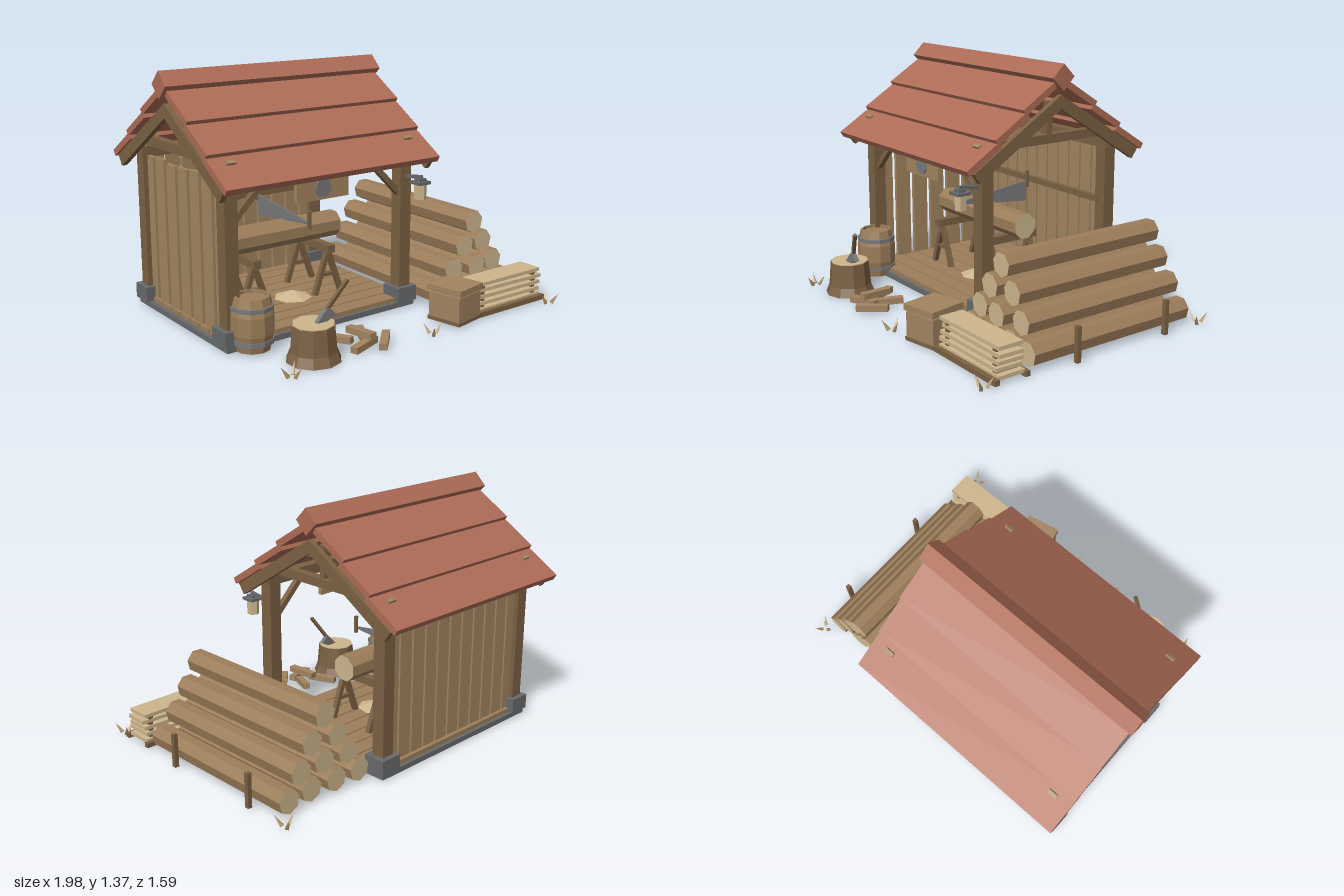
import * as THREE from 'three';

const mat = (name, color) => {
  const m = new THREE.MeshStandardMaterial({ color, flatShading: true });
  m.name = name;
  return m;
};

export function createModel() {
  const root = new THREE.Group();
  root.name = 'woodcutterShed';
  const roofRed = mat('roofRed', 0xad6c56);
  const plank = mat('plankWood', 0xa28460);
  const beam = mat('beamWood', 0x7b6144);
  const bark = mat('logBark', 0x9d7e5a);
  const cut = mat('cutWood', 0xcdb68d);
  const metal = mat('metal', 0x78797b);
  const stone = mat('stone', 0x67696b);
  const grass = mat('dryGrass', 0xb6996c);

  let seed = 7;
  const rnd = () => (seed = (seed * 16807) % 2147483647) / 2147483647;

  const group = (name, x = 0, y = 0, z = 0) => {
    const g = new THREE.Group();
    g.name = name;
    g.position.set(x, y, z);
    root.add(g);
    return g;
  };
  const add = (p, name, geo, m, x = 0, y = 0, z = 0, rx = 0, ry = 0, rz = 0) => {
    const mesh = new THREE.Mesh(geo, m);
    mesh.name = name;
    mesh.position.set(x, y, z);
    mesh.rotation.set(rx, ry, rz);
    p.add(mesh);
    return mesh;
  };
  const box = (p, name, m, w, h, d, x, y, z, rx, ry, rz) =>
    add(p, name, new THREE.BoxGeometry(w, h, d), m, x, y, z, rx, ry, rz);
  // Square bar between two points
  const bar = (p, name, m, a, b, w, d = w) => {
    const A = new THREE.Vector3(...a), B = new THREE.Vector3(...b);
    const dir = B.clone().sub(A);
    const mesh = box(p, name, m, w, dir.length(), d, 0, 0, 0);
    mesh.position.copy(A).add(B).multiplyScalar(0.5);
    mesh.quaternion.setFromUnitVectors(new THREE.Vector3(0, 1, 0), dir.normalize());
    return mesh;
  };

  const XL = -0.875, XR = 0.24, ZF = 0.24, ZB = -0.62, XC = -0.315, ZC = -0.19;

  // Base slab, floor boards, corner stones and posts
  const base = group('base');
  box(base, 'slab', stone, 1.22, 0.03, 0.97, XC, 0.02, ZC);
  for (let i = 0; i < 9; i++)
    box(base, 'floorBoard', bark, 1.17, 0.025, 0.096, XC, 0.046, -0.606 + i * 0.104);
  const frame = group('frame');
  for (const x of [XL, XR]) for (const z of [ZF, ZB]) {
    box(base, 'cornerStone', stone, 0.13, 0.085, 0.13, x, 0.076, z);
    box(frame, 'post', beam, 0.075, 0.82, 0.075, x, 0.5, z);
  }

  // Plates, ties, king posts, front braces and back rail
  for (const z of [ZF, ZB]) box(frame, 'plate', beam, 1.2, 0.06, 0.065, XC, 0.885, z);
  for (const [x, s] of [[XL, 1], [XR, -1]])
    bar(frame, 'brace', beam, [x + s * 0.02, 0.65, ZF], [x + s * 0.23, 0.86, ZF], 0.032);
  for (const x of [XL, XR]) {
    box(frame, 'tieBeam', beam, 0.05, 0.05, 0.78, x, 0.955, ZC);
    box(frame, 'kingPost', beam, 0.035, 0.2, 0.035, x, 1.06, ZC);
  }
  box(frame, 'backRail', beam, 1.08, 0.035, 0.03, XC, 0.55, ZB + 0.03);

  // Board walls: back and left-hand end
  const walls = group('walls');
  for (let i = 0; i < 11; i++) {
    const h = 0.81 + rnd() * 0.02;
    box(walls, 'backBoard', plank, 0.087, h, 0.022, XC - 0.5 + i * 0.1, 0.055 + h / 2, ZB);
  }
  for (let i = 0; i < 7; i++) {
    const h = 0.795 + rnd() * 0.025;
    box(walls, 'sideBoard', plank, 0.022, h, 0.098, XL, 0.055 + h / 2, ZC + (i - 3) * 0.125);
  }

  // Gable rafters
  const chevron = new THREE.Shape([[0.57, 0.85], [0, 1.205], [-0.57, 0.85], [-0.53, 0.795],
    [0, 1.13], [0.53, 0.795]].map(p => new THREE.Vector2(...p)));
  const gable = new THREE.ExtrudeGeometry(chevron, { depth: 0.03, bevelEnabled: false }).rotateY(Math.PI / 2);
  for (const x of [-0.975, 0.322]) add(frame, 'gableRafter', gable, beam, x, 0, ZC);

  // Roof: overlapping courses on both slopes, pegs and a turned ridge beam
  const tilt = 0.555, c = Math.cos(tilt), s = Math.sin(tilt), L = 0.24, T = 0.036;
  for (const side of [0, 1]) {
    const slope = group(side ? 'backRoof' : 'frontRoof', XC, 0, ZC);
    slope.rotation.y = side * Math.PI;
    for (let i = 0; i < 3; i++) {
      const y = 0.872 + i * 0.138 + s * L / 2 - c * T / 2;
      const z = 0.615 - i * 0.18 - c * L / 2 - s * T / 2;
      box(slope, 'roofCourse', roofRed, 1.335, T, L, 0, y, z, tilt);
    }
    for (const x of [-0.557, 0.557]) box(slope, 'roofPeg', plank, 0.052, 0.022, 0.022, x, 0.964, 0.47, tilt);
  }
  const ridge = group('ridge');
  box(ridge, 'ridgeBeam', roofRed, 1.37, 0.103, 0.103, XC, 1.3, ZC, Math.PI / 4);

  // Hanging sign with a round plate
  const sign = group('sign', XC, 0.763, 0.255);
  box(sign, 'signBoard', plank, 0.33, 0.125, 0.025, 0, 0, 0);
  add(sign, 'signDisc', new THREE.CylinderGeometry(0.05, 0.05, 0.009, 10), metal, 0, 0, 0.016, Math.PI / 2);
  for (const x of [-0.12, 0.12]) box(sign, 'signHanger', metal, 0.01, 0.06, 0.01, x, 0.085, 0);

  // Lantern on a bracket
  const lantern = group('lantern', 0.245, 0, 0.392);
  bar(lantern, 'bracket', stone, [0, 0.75, -0.12], [0, 0.768, 0.01], 0.018);
  box(lantern, 'cap', stone, 0.082, 0.016, 0.082, 0, 0.736, 0);
  box(lantern, 'hook', stone, 0.045, 0.016, 0.045, 0, 0.751, 0);
  add(lantern, 'glass', new THREE.CylinderGeometry(0.036, 0.033, 0.085, 6), cut, 0, 0.688, 0);

  // Logs with pale cut ends
  const log = (p, name, r, len, x, y, z, sides, alongX) => {
    const g = new THREE.CylinderGeometry(r, r, len, sides);
    if (alongX) g.rotateY(Math.PI / 8).rotateZ(Math.PI / 2);
    else g.rotateX(Math.PI / 2);
    return add(p, name, g, [bark, cut, cut], x, y, z);
  };
  const pile = group('logPile');
  for (let row = 0; row < 4; row++) for (let i = 0; i < 4 - row; i++) {
    const len = 1.0 + rnd() * 0.05;
    log(pile, 'stackedLog', 0.066, len, 0.393 + row * 0.08 + i * 0.16, 0.08 + row * 0.126,
      -0.085 + (rnd() - 0.5) * 0.03, 7, false);
  }
  for (const z of [0.2, -0.4]) box(pile, 'stake', beam, 0.025, 0.19, 0.025, 0.962, 0.1, z);

  // Sawhorses with a work log, two-handled saw and sawdust
  const bench = group('sawBench', 0, 0, ZC + 0.02);
  log(bench, 'workLog', 0.076, 0.78, XC, 0.42, 0, 8, true);
  for (const x of [-0.56, -0.07]) {
    box(bench, 'horseBeam', beam, 0.045, 0.045, 0.36, x, 0.325, 0);
    for (const z of [-0.14, 0.14]) {
      for (const d of [-1, 1])
        bar(bench, 'horseLeg', beam, [x + d * 0.09, 0.06, z], [x - d * 0.01, 0.34, z], 0.028);
      box(bench, 'horseStretcher', beam, 0.11, 0.02, 0.02, x, 0.17, z);
    }
  }
  const blade = new THREE.Shape([[-0.22, 0.51], [0.27, 0.46], [0.27, 0.585], [-0.22, 0.525]]
    .map(p => new THREE.Vector2(...p)));
  add(bench, 'sawBlade', new THREE.ExtrudeGeometry(blade, { depth: 0.008, bevelEnabled: false })
    .rotateY(Math.PI / 2), metal, -0.268, 0, 0);
  box(bench, 'sawHandle', beam, 0.018, 0.1, 0.018, -0.264, 0.595, -0.28);
  box(bench, 'sawHandle', beam, 0.018, 0.1, 0.018, -0.264, 0.535, 0.24);
  add(bench, 'sawdust', new THREE.ConeGeometry(0.11, 0.04, 7), cut, -0.27, 0.078, 0.08);

  // Barrel with hoops
  const barrel = group('barrel', -0.785, 0.01, 0.31);
  const lathe = pts => new THREE.LatheGeometry(pts.map(p => new THREE.Vector2(...p)), 10);
  add(barrel, 'staves', lathe([[0, 0], [0.092, 0], [0.113, 0.09], [0.113, 0.19], [0.092, 0.28],
    [0.08, 0.28], [0.08, 0.265], [0, 0.265]]), bark);
  for (const y of [0.05, 0.225])
    add(barrel, 'hoop', new THREE.CylinderGeometry(0.113, 0.113, 0.022, 10, 1), metal, 0, y, 0);

  // Chopping stump with an axe
  const stump = group('choppingStump', -0.61, 0, 0.59);
  add(stump, 'stumpBark', lathe([[0, 0], [0.142, 0], [0.122, 0.05], [0.11, 0.185], [0, 0.185]]), beam);
  add(stump, 'stumpTop', new THREE.CylinderGeometry(0.108, 0.108, 0.006, 10), cut, 0, 0.187, 0);
  bar(stump, 'axeHandle', beam, [0.04, 0.2, 0], [0.17, 0.39, 0.05], 0.018);
  const head = new THREE.Shape([[-0.005, 0.18], [0.06, 0.187], [0.12, 0.215], [0.075, 0.26], [0.045, 0.235]]
    .map(p => new THREE.Vector2(...p)));
  add(stump, 'axeHead', new THREE.ExtrudeGeometry(head, { depth: 0.026, bevelEnabled: false }), metal, 0, 0, 0);

  // Split kindling: x, y, z, length, turn
  const kindling = group('kindling');
  for (const [x, y, z, len, a] of [[-0.4, 0.03, 0.5, 0.17, -1.1], [-0.26, 0.03, 0.53, 0.15, 1.15],
    [-0.315, 0.07, 0.59, 0.18, -1.45], [-0.34, 0.03, 0.65, 0.18, 0.3], [-0.22, 0.03, 0.665, 0.18, 0.8]])
    box(kindling, 'splitPiece', plank, len, 0.035, 0.042, x, y, z, 0, a, 0.04);

  // Lidded crate
  const crate = group('crate', 0.315, 0, 0.61);
  crate.rotation.y = 0.2;
  box(crate, 'crateBody', plank, 0.195, 0.15, 0.2, 0, 0.09, 0);
  box(crate, 'crateLid', plank, 0.21, 0.035, 0.22, 0, 0.192, 0);
  box(crate, 'crateFoot', beam, 0.205, 0.02, 0.21, 0, 0.02, 0);

  // Sawn board stack on spacers
  const stack = group('boardStack', 0.69, 0, 0.585);
  for (const z of [-0.09, 0.09]) box(stack, 'bearer', beam, 0.515, 0.028, 0.028, 0, 0.02, z);
  for (let i = 0; i < 5; i++) {
    const y = 0.035 + i * 0.036;
    box(stack, 'sawnBoard', cut, 0.49, 0.02, 0.135 + rnd() * 0.02,
      (rnd() - 0.5) * 0.02, y, 0, 0, (rnd() - 0.5) * 0.05);
    if (i < 4) for (const x of [-0.2, 0.2]) box(stack, 'spacer', beam, 0.025, 0.018, 0.13, x, y + 0.018, 0);
  }

  // Dry grass tufts
  const blades = group('grassTufts');
  for (const [x, z] of [[-0.82, 0.71], [0.07, 0.71], [0.92, 0.74], [0.95, -0.66]])
    for (let i = 0; i < 3; i++) {
      const a = i * 2.1 + x, g = new THREE.ConeGeometry(0.013, 0.068, 4).translate(0, 0.034, 0);
      add(blades, 'grassBlade', g, grass, x + Math.cos(a) * 0.02, 0.006, z + Math.sin(a) * 0.02,
        Math.sin(a) * 0.6, 0, -Math.cos(a) * 0.6);
    }

  return root;
}
